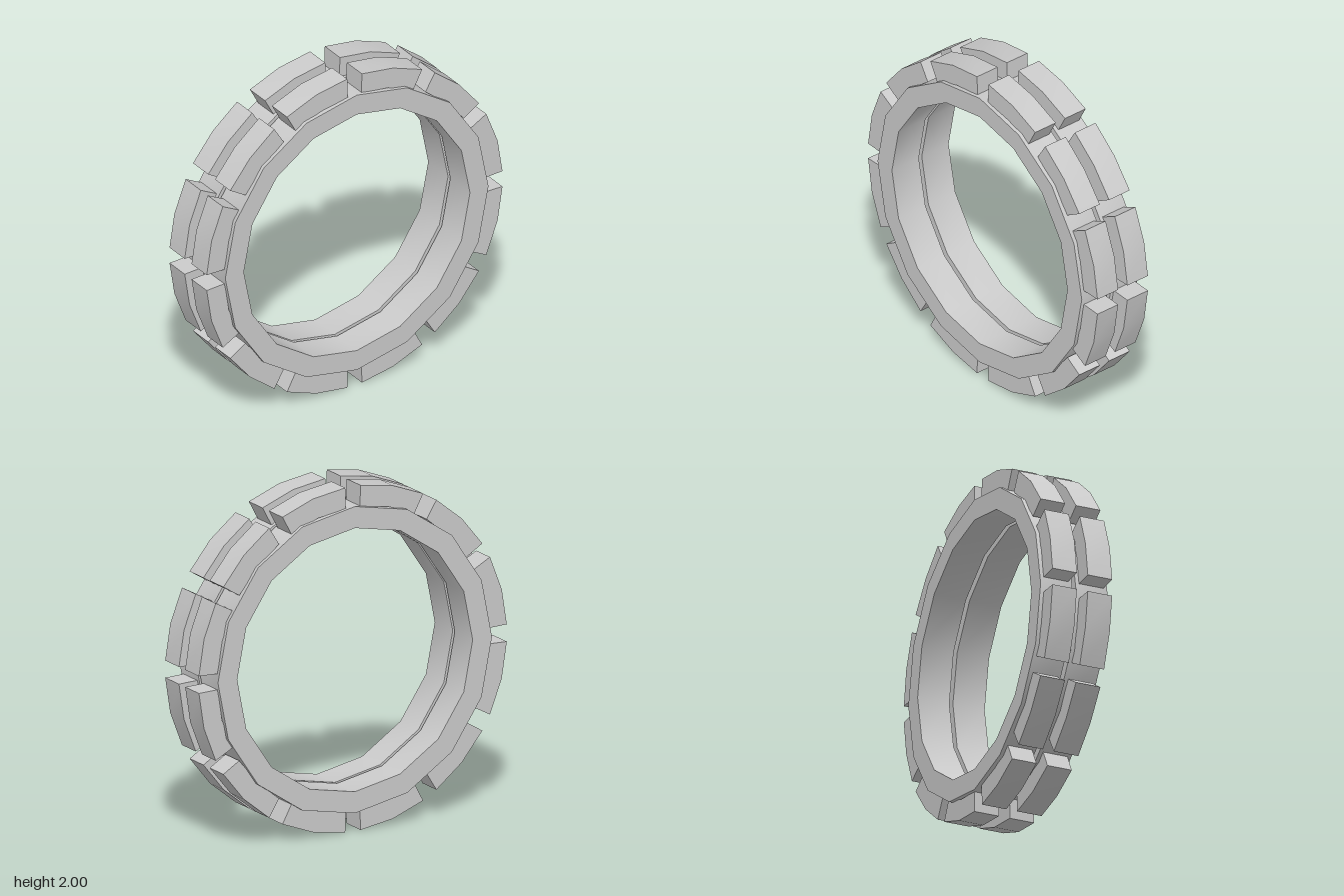
import * as THREE from 'three';
import { toCreasedNormals } from 'three/addons/utils/BufferGeometryUtils.js';

const CENTER_Y = 1;

// Points on a circle, with angles in degrees measured clockwise from the top
const arc = (radius, degrees) => degrees.map((d) => {
  const a = THREE.MathUtils.degToRad(d);
  return new THREE.Vector2(Math.sin(a) * radius, Math.cos(a) * radius);
});

// Extruded slab centred on z = 0, soft around the curve and sharp at the rims
function slab(shape, depth) {
  const geometry = new THREE.ExtrudeGeometry(shape, { depth, bevelEnabled: false });
  geometry.translate(0, 0, -depth / 2);
  return toCreasedNormals(geometry, THREE.MathUtils.degToRad(30));
}

export function createModel() {
  const model = new THREE.Group();
  model.name = 'treadedWheel';
  const grey = new THREE.MeshStandardMaterial({ color: 0xcacaca });
  grey.name = 'lightGrey';

  // Sixteen-sided rim; outline and hole wind opposite ways so both walls face out
  const sides = Array.from({ length: 16 }, (_, i) => -i * 22.5);
  const rimShape = new THREE.Shape(arc(0.89, sides));
  rimShape.holes.push(new THREE.Path(arc(0.765, sides.toReversed())));
  const rimGeometry = slab(rimShape, 0.194);

  // Tread block: two straight segments following the rim
  const treadShape = new THREE.Shape([
    ...arc(1.0012, [12.15, 0, -12.15]),
    ...arc(0.88, [-12, 0, 12]),
  ]);
  const treadGeometry = slab(treadShape, 0.149);

  for (const side of [1, -1]) {
    const wheel = new THREE.Group();
    wheel.name = side > 0 ? 'frontWheel' : 'backWheel';
    wheel.position.set(0, CENTER_Y, side * 0.108);

    const rim = new THREE.Mesh(rimGeometry, grey);
    rim.name = 'rim';
    wheel.add(rim);

    // Twelve treads with a gap at the top, bottom and both sides
    for (let i = 0; i < 12; i++) {
      const tread = new THREE.Mesh(treadGeometry, grey);
      tread.name = 'tread';
      tread.rotation.z = THREE.MathUtils.degToRad(15 + i * 30);
      wheel.add(tread);
    }
    model.add(wheel);
  }
  return model;
}
